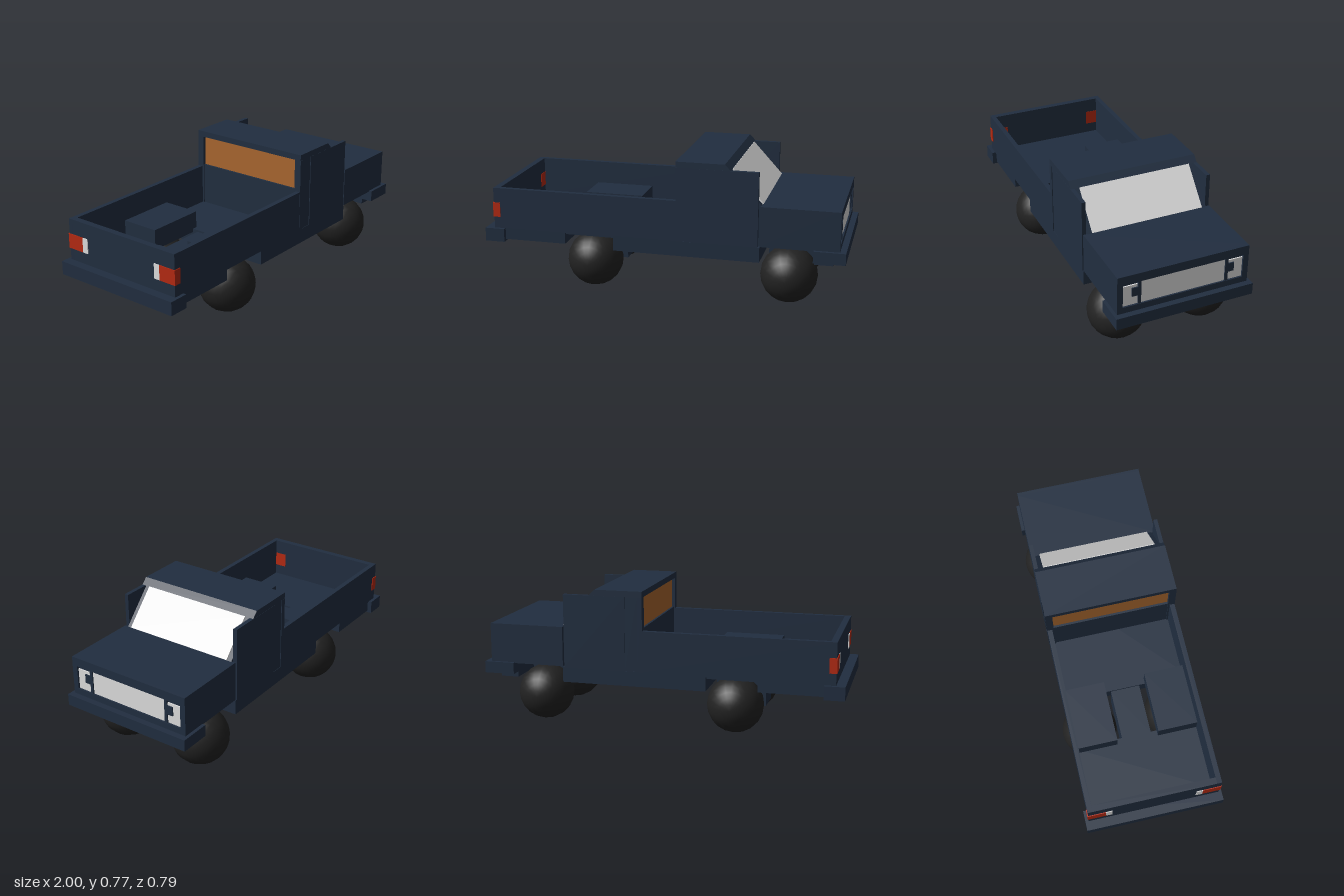
import * as THREE from 'three';

export function createModel() {
  const truck = new THREE.Group();
  truck.name = 'pickupTruck';
  const mat = (name, color) => {
    const m = new THREE.MeshStandardMaterial({ color });
    m.name = name;
    return m;
  };
  const navy = mat('navyPaint', 0x212e40);
  const black = mat('blackTyre', 0x222222);
  const white = mat('whiteGlass', 0xdedede);
  const red = mat('redLamp', 0xb52a12);
  const amber = mat('amberGlass', 0xa9672f);

  const add = (name, geo, material) => {
    const m = new THREE.Mesh(geo, material);
    m.name = name;
    truck.add(m);
    return m;
  };
  // Box given by its limits along x, y and z
  const box = (name, x0, x1, y0, y1, z0, z1, material = navy) => {
    const m = add(name, new THREE.BoxGeometry(x1 - x0, y1 - y0, z1 - z0), material);
    m.position.set((x0 + x1) / 2, (y0 + y1) / 2, (z0 + z1) / 2);
    return m;
  };
  // The same box on both sides of the truck
  const pair = (name, x0, x1, y0, y1, z0, z1, material = navy) => {
    box(name, x0, x1, y0, y1, z0, z1, material);
    box(name, x0, x1, y0, y1, -z1, -z0, material);
  };
  // Side outline [x, y] extruded across the truck between z0 and z1
  const slab = (name, points, z0, z1, material = navy) => {
    const shape = new THREE.Shape(points.map(([x, y]) => new THREE.Vector2(x, y)));
    const geo = new THREE.ExtrudeGeometry(shape, { depth: z1 - z0, bevelEnabled: false });
    geo.translate(0, 0, z0);
    return add(name, geo, material);
  };

  // Wheels
  for (const x of [-0.4, 0.69]) {
    for (const z of [-0.24, 0.24]) {
      const wheel = add('wheel', new THREE.SphereGeometry(0.155, 20, 14), black);
      wheel.rotation.x = Math.PI / 2;
      wheel.position.set(x, 0.156, z);
    }
  }

  // Floor and chassis, leaving a slot above the rear axle
  box('rearFloor', -0.93, -0.54, 0.26, 0.33, -0.355, 0.355);
  box('middleFloor', -0.26, 0.545, 0.247, 0.33, -0.362, 0.362);
  box('rearAxleHousing', -0.54, -0.26, 0.11, 0.32, -0.082, 0.082);
  box('frontAxleHousing', 0.56, 0.82, 0.192, 0.34, -0.115, 0.115);

  // Cargo bed
  pair('bedSide', -0.95, 0.115, 0.325, 0.555, 0.335, 0.362);
  box('tailgate', -0.95, -0.915, 0.325, 0.555, -0.335, 0.335);
  pair('wheelArch', -0.57, -0.23, 0.31, 0.425, 0.115, 0.335);
  box('rearBumper', -1, -0.89, 0.25, 0.325, -0.38, 0.38);
  pair('tailLamp', -0.954, -0.913, 0.39, 0.472, 0.265, 0.366, red);
  pair('reverseLamp', -0.954, -0.946, 0.39, 0.472, 0.23, 0.265, white);

  // Cab
  slab('cabBody', [[0.115, 0.33], [0.55, 0.33], [0.55, 0.555], [0.382, 0.737], [0.115, 0.737]], -0.34, 0.34);
  box('cabRearWall', 0.095, 0.115, 0.33, 0.565, -0.335, 0.335);
  slab('roof', [[0.09, 0.737], [0.388, 0.737], [0.355, 0.77], [0.09, 0.77]], -0.363, 0.363);
  pair('rearPillar', 0.09, 0.118, 0.33, 0.737, 0.325, 0.364);
  pair('doorPillar', 0.118, 0.187, 0.33, 0.737, 0.34, 0.36);
  pair('door', 0.187, 0.535, 0.33, 0.737, 0.342, 0.364);
  box('rearWindow', 0.107, 0.115, 0.565, 0.731, -0.325, 0.325, amber);

  // Windscreen plate lying on the slope
  slab('windscreen', [[0.55, 0.556], [0.556, 0.56], [0.39, 0.74], [0.384, 0.736]], -0.314, 0.314, white);

  // Bonnet and nose
  box('bonnet', 0.545, 0.95, 0.335, 0.555, -0.362, 0.362);
  box('bonnetLip', 0.95, 0.967, 0.506, 0.555, -0.362, 0.362);
  box('noseSill', 0.95, 0.967, 0.335, 0.374, -0.362, 0.362);
  pair('noseCorner', 0.95, 0.967, 0.374, 0.506, 0.332, 0.362);
  pair('lampDivider', 0.95, 0.964, 0.374, 0.506, 0.232, 0.249);
  box('grille', 0.95, 0.958, 0.374, 0.506, -0.232, 0.232, white);
  pair('headlamp', 0.95, 0.957, 0.374, 0.488, 0.249, 0.332, white);
  pair('headlampBlock', 0.95, 0.964, 0.424, 0.473, 0.249, 0.282);

  // Front bumper
  box('frontBumper', 0.83, 1, 0.276, 0.34, -0.38, 0.38);
  box('bumperApron', 0.83, 0.93, 0.245, 0.276, -0.315, 0.315);

  return truck;
}
